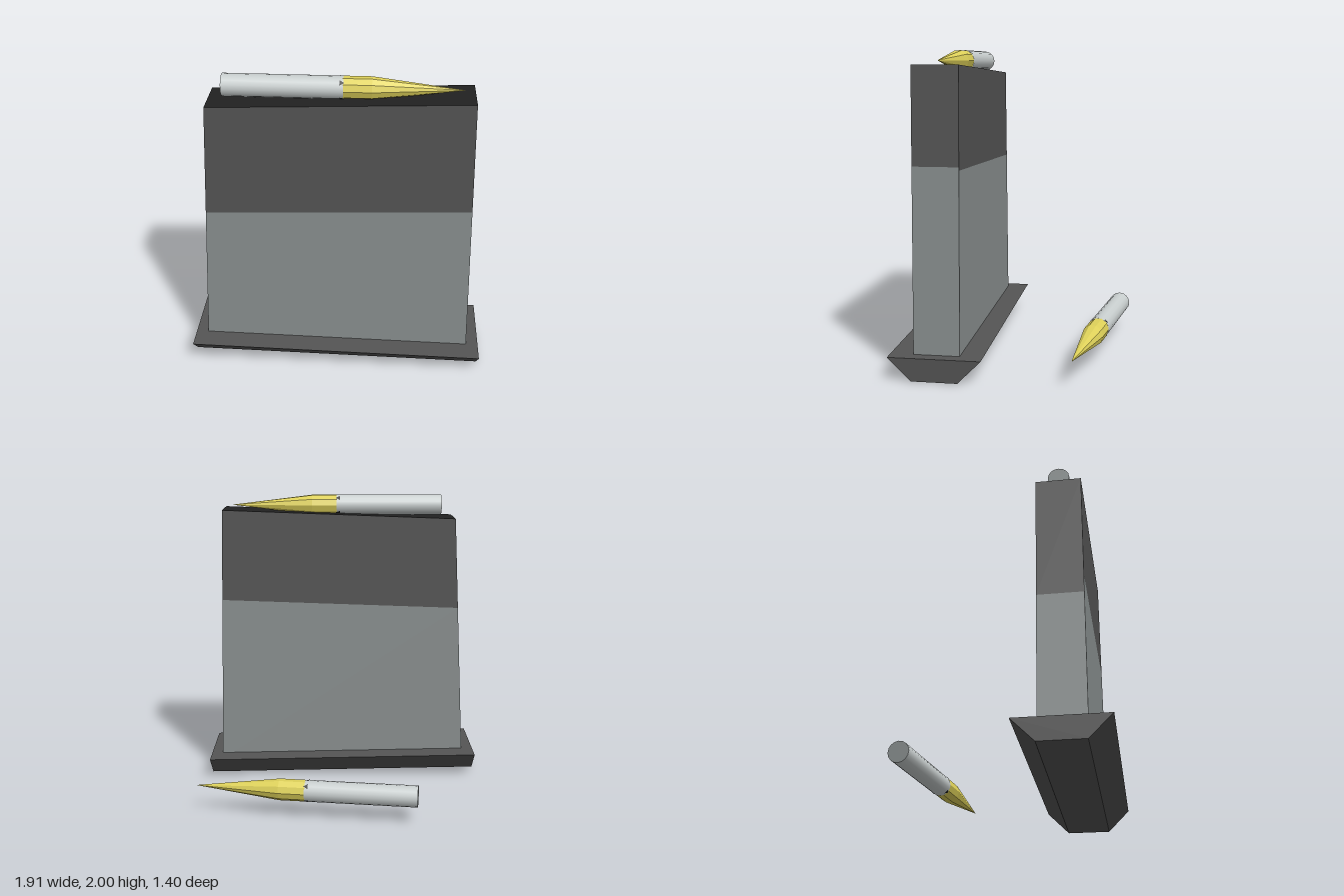
import * as THREE from 'three';

const mat = (name, color, extra = {}) => Object.assign(new THREE.MeshStandardMaterial({ color, ...extra }), { name });

export function createModel() {
  const darkGrey = mat('darkGrey', 0x555555);
  const steel = mat('steelGrey', 0x8a9090);
  const black = mat('black', 0x212121);
  const silver = mat('silver', 0xc9cfcf);
  const gold = mat('gold', 0xdfd25a);
  gold.flatShading = true;
  black.side = THREE.DoubleSide;

  const model = new THREE.Group();
  model.name = 'magazineWithCartridges';
  const add = (parent, name, geometry, material) => {
    const mesh = new THREE.Mesh(geometry, material);
    mesh.name = name;
    parent.add(mesh);
    return mesh;
  };

  // One flat quad, corners anticlockwise seen from outside
  const quad = (a, b, c, d) => {
    const g = new THREE.BufferGeometry();
    g.setAttribute('position', new THREE.Float32BufferAttribute([a, b, c, a, c, d].flat(), 3));
    g.computeVertexNormals();
    return g;
  };

  // Tapered body: each wall is split into a steel lower and a dark upper part
  const zFront = 0.555, zBack = 0.265;
  const edgeX = {
    l: (y) => -0.88 + (0.09 * (y - 0.15)) / 1.695,
    r: (y) => 0.86 - (0.045 * (y - 0.15)) / 1.755,
  };
  const topY = { l: 1.845, r: 1.905 };
  const corner = (side, z, y) => [edgeX[side](y), y, z];
  const body = new THREE.Group();
  body.name = 'magazineBody';
  model.add(body);
  const walls = [
    ['front', 'l', zFront, 1.12, 'r', zFront, 1.18],
    ['right', 'r', zFront, 1.3, 'r', zBack, 1.3],
    ['back', 'r', zBack, 1.28, 'l', zBack, 1.22],
    ['left', 'l', zBack, 1.0, 'l', zFront, 1.0],
  ];
  for (const [name, s1, z1, h1, s2, z2, h2] of walls) {
    const m1 = corner(s1, z1, h1), m2 = corner(s2, z2, h2);
    add(body, name + 'LowerWall', quad(corner(s1, z1, 0.1), corner(s2, z2, 0.1), m2, m1), steel);
    add(body, name + 'UpperWall', quad(m1, m2, corner(s2, z2, topY[s2]), corner(s1, z1, topY[s1])), darkGrey);
  }
  add(body, 'topOpening', quad(
    corner('l', zFront, topY.l), corner('r', zFront, topY.r),
    corner('r', zBack, topY.r), corner('l', zBack, topY.l)), black);

  // Base plate with bevelled long sides, slightly tilted
  const profile = new THREE.Shape([[-0.145, -0.0725], [0.145, -0.0725], [0.29, 0.0725], [-0.29, 0.0725]]
    .map(([x, y]) => new THREE.Vector2(x, y)));
  const baseGeo = new THREE.ExtrudeGeometry(profile, { depth: 1.895, bevelEnabled: false });
  baseGeo.translate(0, 0, -0.9475).rotateY(Math.PI / 2);
  const base = add(model, 'basePlate', baseGeo, darkGrey);
  base.position.set(-0.01, 0.0875, 0.41);
  base.rotation.z = -0.016;

  // Cartridge along +x, starting at its rear end
  const R = 0.07;
  const makeCartridge = (name) => {
    const g = new THREE.Group();
    g.name = name;
    const casing = new THREE.CylinderGeometry(R, R, 0.73, 16, 1, true);
    add(g, 'casing', casing.rotateZ(-Math.PI / 2).translate(0.365, 0, 0), silver);
    add(g, 'casingEnd', new THREE.CircleGeometry(R, 16).rotateY(-Math.PI / 2), steel);
    const tip = new THREE.LatheGeometry(
      [[R, 0.725], [R, 0.9], [0.001, 1.45]].map(([r, y]) => new THREE.Vector2(r, y)), 10);
    add(g, 'pointedTip', tip.rotateZ(-Math.PI / 2), gold);
    // Small crimp marks at the mouth of the casing
    for (let i = 0; i < 4; i++) {
      const mark = new THREE.CircleGeometry(0.02, 3).translate(0.717, 0, R + 0.001);
      add(g, 'crimpMark', mark.rotateX(Math.PI / 4 + (i * Math.PI) / 2), black);
    }
    model.add(g);
    return g;
  };
  makeCartridge('loadedCartridge').position.set(-0.7, 1.93, 0.405);
  const loose = makeCartridge('looseCartridge');
  loose.position.set(-0.485, 0.18, -0.633);
  loose.rotation.y = -0.141;

  return model;
}
